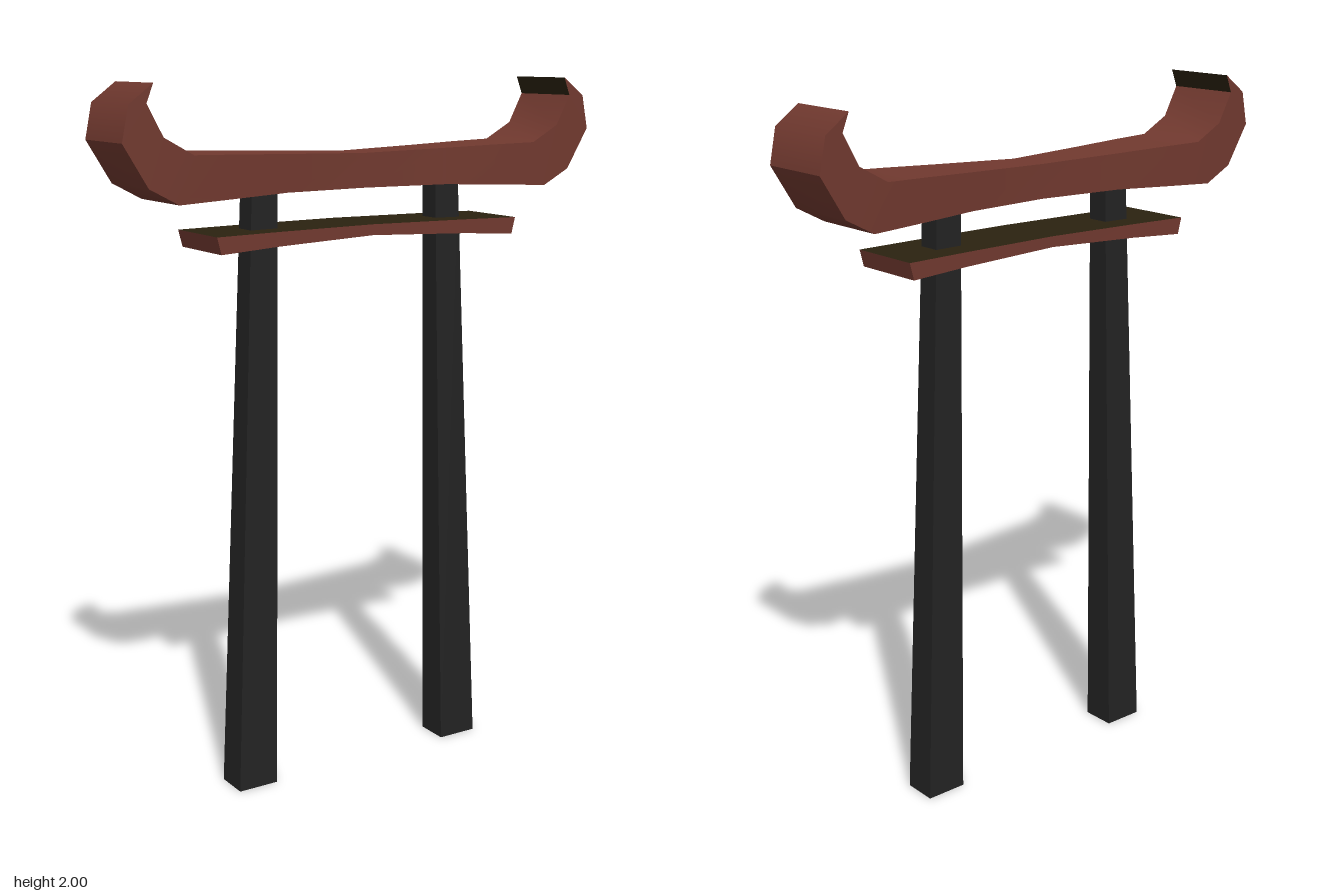
import * as THREE from 'three';
import { toCreasedNormals } from 'three/addons/utils/BufferGeometryUtils.js';

const paint = (name, color) => {
  const m = new THREE.MeshStandardMaterial({ color });
  m.name = name;
  return m;
};

// Symmetric beam from half-stations [bottomX, bottomY, topX, topY, halfDepth].
// topMats / bottomMats pick the material index for each half-segment.
function beamGeometry(half, topMats, bottomMats) {
  const n = half.length - 1;
  const stations = [];
  for (let i = -n; i <= n; i++) {
    const [bx, by, tx, ty, d] = half[Math.abs(i)];
    const s = Math.sign(i);
    stations.push({
      bf: [s * bx, by, d], tf: [s * tx, ty, d],
      bb: [s * bx, by, -d], tb: [s * tx, ty, -d],
    });
  }
  const pos = [];
  const geo = new THREE.BufferGeometry();
  const quad = (a, b, c, d, mat) => {
    geo.addGroup(pos.length / 3, 6, mat);
    pos.push(...a, ...b, ...c, ...a, ...c, ...d);
  };
  for (let i = 0; i < 2 * n; i++) {
    const p = stations[i], q = stations[i + 1];
    const seg = i < n ? n - 1 - i : i - n;
    quad(p.bf, q.bf, q.tf, p.tf, 0);               // front
    quad(q.bb, p.bb, p.tb, q.tb, 0);               // back
    quad(p.tf, q.tf, q.tb, p.tb, topMats[seg]);    // top
    quad(p.bb, q.bb, q.bf, p.bf, bottomMats[seg]); // underside
  }
  const l = stations[0], r = stations[2 * n];
  quad(l.bb, l.bf, l.tf, l.tb, 0);
  quad(r.bf, r.bb, r.tb, r.tf, 0);
  geo.setAttribute('position', new THREE.Float32BufferAttribute(pos, 3));
  return toCreasedNormals(geo, 0.75);
}

// Square post that tapers and leans from its base to its top
function postGeometry() {
  const height = 1.71;
  const geo = new THREE.BoxGeometry(1, height, 1);
  geo.translate(0, height / 2, 0);
  const p = geo.attributes.position;
  for (let i = 0; i < p.count; i++) {
    const t = p.getY(i) / height;
    const cx = THREE.MathUtils.lerp(0.354, 0.3, t);
    const w = THREE.MathUtils.lerp(0.122, 0.08, t);
    const d = THREE.MathUtils.lerp(0.1, 0.064, t);
    p.setX(i, cx + p.getX(i) * w);
    p.setZ(i, p.getZ(i) * d);
  }
  geo.computeVertexNormals();
  return geo;
}

export function createModel() {
  const group = new THREE.Group();
  group.name = 'gate';
  const red = paint('weathered red', 0x71392f);
  const charcoal = paint('charcoal', 0x232323);
  const olive = paint('dark olive', 0x2b2210);
  const mats = [red, olive, charcoal];

  const add = (name, geo, mat, parent = group) => {
    const mesh = new THREE.Mesh(geo, mat);
    mesh.name = name;
    parent.add(mesh);
    return mesh;
  };

  // Roof beam with upturned, hooked ends, narrow at the middle
  add('roofBeam', beamGeometry([
    [0, 1.705, 0, 1.8, 0.062],
    [0.26, 1.705, 0.26, 1.807, 0.086],
    [0.42, 1.698, 0.42, 1.812, 0.101],
    [0.595, 1.69, 0.55, 1.815, 0.112],
    [0.68, 1.735, 0.635, 1.862, 0.112],
    [0.75, 1.85, 0.68, 1.947, 0.112],
    [0.73, 1.945, 0.66, 1.997, 0.112],
  ], [0, 0, 0, 0, 0, 1], [2, 1, 0, 0, 0, 0]), mats);

  // Lower tie beam with a dark top face
  add('tieBeam', beamGeometry([
    [0, 1.578, 0, 1.608, 0.105],
    [0.3, 1.566, 0.3, 1.605, 0.109],
    [0.477, 1.555, 0.489, 1.602, 0.112],
  ], [1, 1], [0, 0]), mats);

  // Posts, each with a stained ring under the tie beam
  const post = postGeometry();
  const mirrored = post.clone().rotateY(Math.PI);
  for (const side of [1, -1]) {
    const name = side > 0 ? 'left' : 'right';
    add(name + 'Post', side > 0 ? post : mirrored, charcoal);
    const ring = add(name + 'PostStain', new THREE.CylinderGeometry(0.068, 0.068, 0.008, 16), olive);
    ring.position.set(side * 0.305, 1.565, 0);
    ring.rotation.z = -side * 0.05;
  }
  return group;
}
